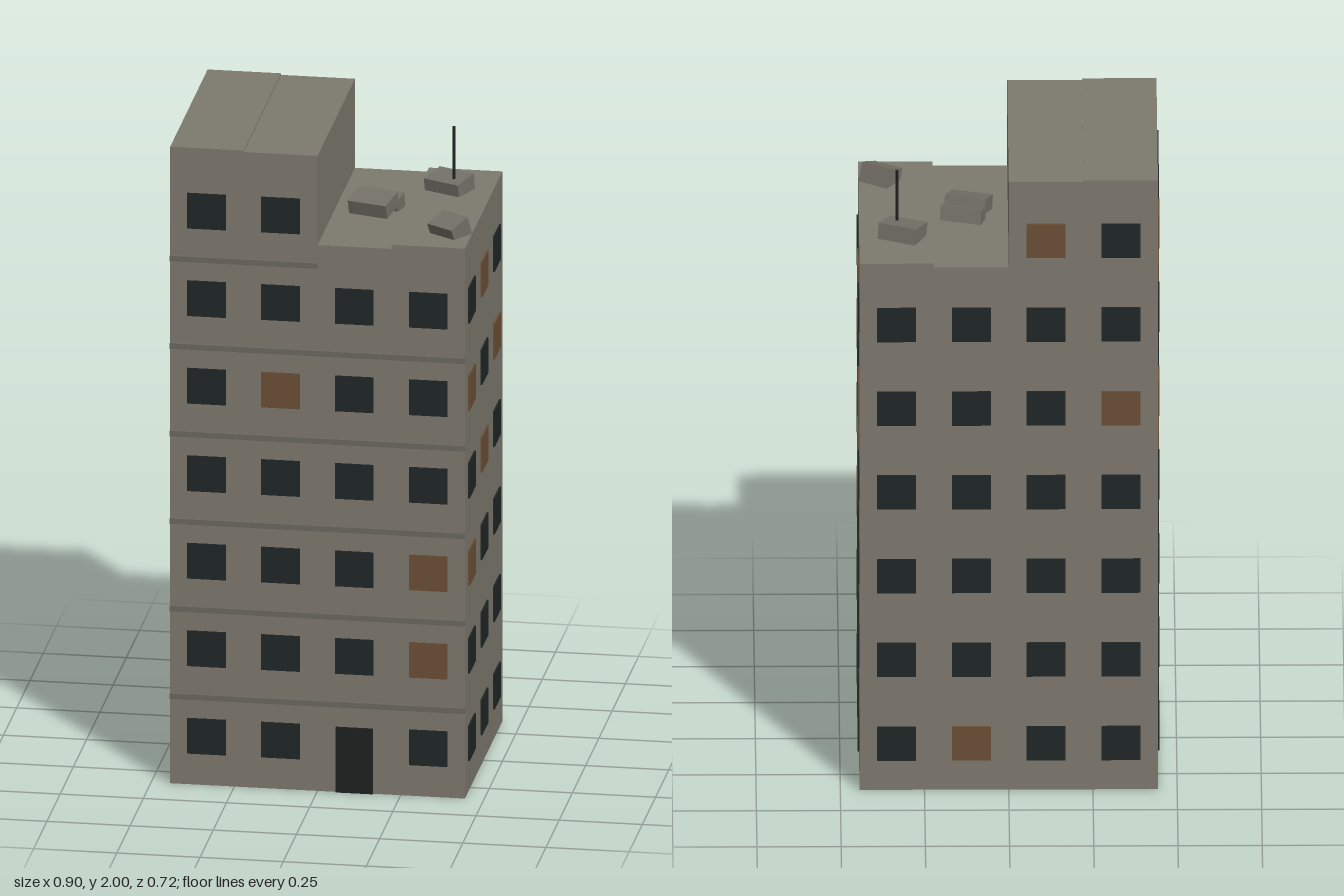
import * as THREE from 'three';

const paint = (color) => new THREE.MeshStandardMaterial({ color, flatShading: true });

export function createModel() {
  const model = new THREE.Group();
  const wall = paint(0x7d796e), ledge = paint(0x6b685f), rubble = paint(0x737067);
  const dark = paint(0x1f2626), lit = paint(0x6b4f35), metal = paint(0x1e2020);

  const box = (name, size, pos, material, parent = model) => {
    const mesh = new THREE.Mesh(new THREE.BoxGeometry(...size), material);
    mesh.name = name;
    mesh.position.set(...pos);
    parent.add(mesh);
    return mesh;
  };

  // Body: one extruded stepped outline, with slightly uneven roof bays
  const X = 0.443, FRONT = 0.351, BACK = -0.357, MID = (FRONT + BACK) / 2;
  const outline = new THREE.Shape([
    [-X, 0], [X, 0], [X, 1.728], [0.222, 1.728], [0.222, 1.715], [0, 1.715],
    [0, 1.995], [-0.222, 1.995], [-0.222, 2], [-X, 2],
  ].map(([x, y]) => new THREE.Vector2(x, y)));
  const bodyGeometry = new THREE.ExtrudeGeometry(outline, { depth: FRONT - BACK, bevelEnabled: false });
  bodyGeometry.translate(0, 0, BACK);
  const body = new THREE.Mesh(bodyGeometry, wall);
  body.name = 'towerBody';
  model.add(body);

  // Windows; lit ones are listed as row-column
  const STOREY = 0.275, OUT = 0.005;
  const bays = [-0.333, -0.111, 0.111, 0.333];
  const sideBays = [MID + 0.236, MID, MID - 0.236];
  const litFront = ['1-3', '2-3', '4-1'];
  const litBack = ['0-2', '4-0', '6-1'];
  const litSide = ['2-0', '3-1', '4-0', '4-2', '5-1', '6-2'];
  const windows = new THREE.Group();
  windows.name = 'windows';
  model.add(windows);
  for (let row = 0; row < 7; row++) {
    const y = 0.153 + row * STOREY;
    const glass = (list, col) => (list.includes(`${row}-${col}`) ? lit : dark);
    bays.forEach((x, col) => {
      if (row === 6 && x > 0) return; // the top storey covers the lower-x half only
      if (!(row === 0 && col === 2)) {
        box('frontWindow', [0.116, 0.111, 0.012], [x, y, FRONT + OUT - 0.006], glass(litFront, col), windows);
      }
      box('backWindow', [0.116, 0.111, 0.012], [x, y, BACK - OUT + 0.006], glass(litBack, col), windows);
    });
    sideBays.forEach((z, col) => {
      for (const side of row === 6 ? [-1] : [-1, 1]) {
        box(side > 0 ? 'leftWindow' : 'rightWindow', [0.012, 0.111, 0.116],
          [side * (X + OUT - 0.006), y, z], glass(litSide, col), windows);
      }
    });
  }

  // Door
  box('door', [0.111, 0.205, 0.014], [0.111, 0.1025, FRONT - 0.001], metal);

  // Ledges between storeys on the front
  for (let i = 1; i <= 6; i++) {
    const short = i === 6;
    box('ledge', [short ? X : 2 * X, 0.017, 0.02],
      [short ? -X / 2 : 0, 0.002 + i * STOREY, FRONT], ledge);
  }

  // Tilted rubble blocks half sunk in the roof: size, position, yaw, tilt
  const blocks = [
    [[0.125, 0.045, 0.085], [0.117, 1.746, 0.033], -0.28, 0.24],
    [[0.125, 0.045, 0.055], [0.134, 1.734, -0.024], -0.28, 0.26],
    [[0.12, 0.05, 0.088], [0.314, 1.748, -0.168], -0.42, 0.15],
    [[0.097, 0.06, 0.075], [0.377, 1.745, 0.225], -0.58, 0.35],
  ];
  for (const [size, pos, yaw, tilt] of blocks) {
    const block = box('rubbleBlock', size, pos, rubble);
    block.rotation.set(tilt, yaw, 0, 'YXZ');
  }

  // Antenna
  const antenna = new THREE.Mesh(new THREE.CylinderGeometry(0.005, 0.005, 0.21, 6), metal);
  antenna.name = 'antenna';
  antenna.position.set(0.331, 1.83, -0.147);
  model.add(antenna);

  return model;
}
